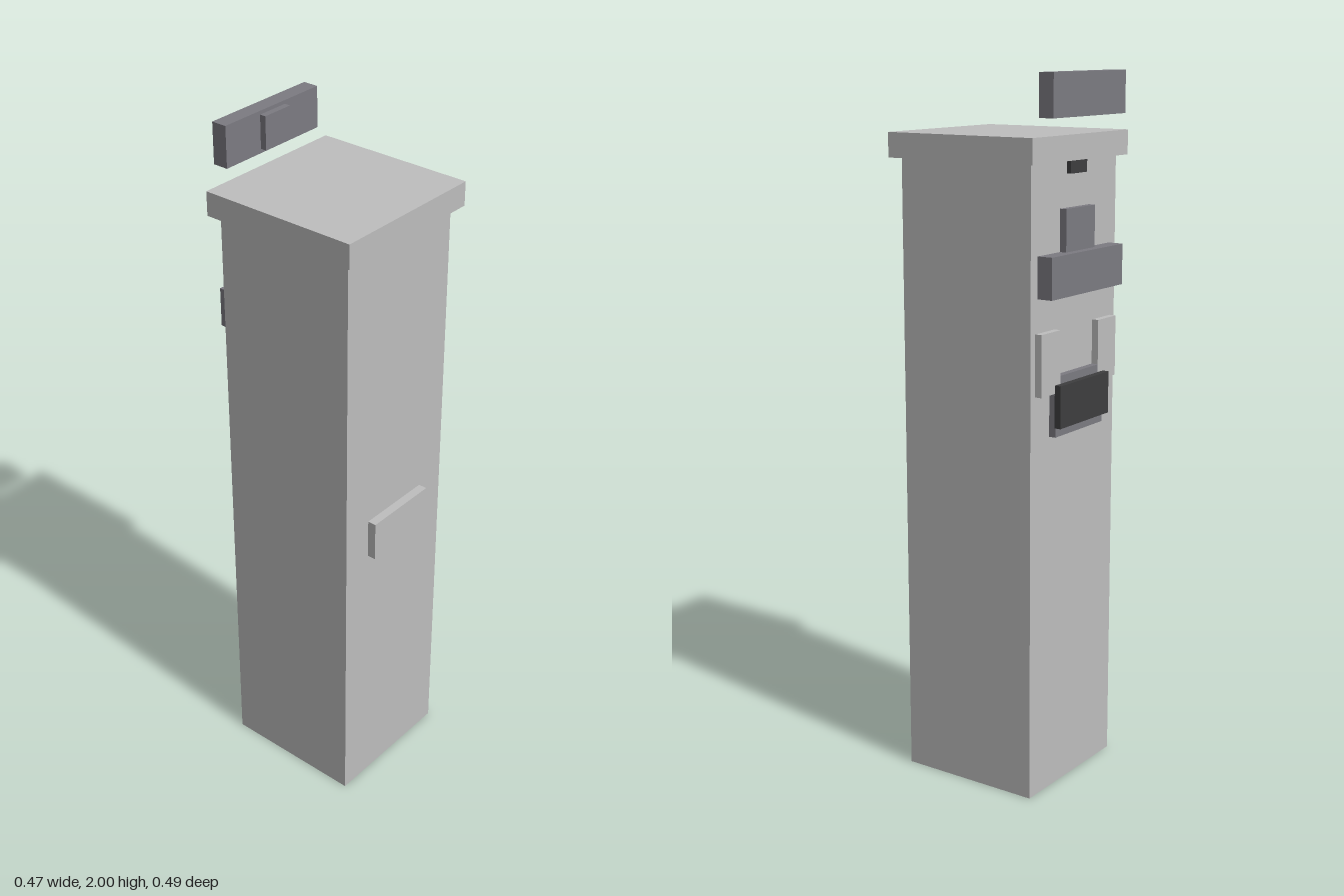
import * as THREE from 'three';

const stone = new THREE.MeshStandardMaterial({ name: 'light grey', color: 0xbebebe });
const slate = new THREE.MeshStandardMaterial({ name: 'slate grey', color: 0x7c7b82 });
const dark = new THREE.MeshStandardMaterial({ name: 'dark grey', color: 0x3e3e3f });

// Box given by its extents on each axis
function box(name, material, [x0, x1], [y0, y1], [z0, z1]) {
  const mesh = new THREE.Mesh(new THREE.BoxGeometry(x1 - x0, y1 - y0, z1 - z0), material);
  mesh.name = name;
  mesh.position.set((x0 + x1) / 2, (y0 + y1) / 2, (z0 + z1) / 2);
  return mesh;
}

const wide = (half) => [-half, half];

export function createModel() {
  const model = new THREE.Group();
  model.name = 'pillar';
  const back = -0.2;

  // Square column with overhanging cap and a plaque on the front
  model.add(
    box('column', stone, wide(0.209), [0, 1.77], [back, 0.222]),
    box('cap', stone, wide(0.235), [1.77, 1.838], [-0.222, 0.247]),
    box('frontPlaque', stone, wide(0.115), [0.825, 0.942], [0.222, 0.247]),
  );

  // Bar floating above the cap, with a small tab on its front
  model.add(
    box('floatingBar', slate, wide(0.177), [1.885, 2], [-0.247, -0.202]),
    box('floatingBarTab', slate, wide(0.048), [1.897, 1.99], [-0.202, -0.184]),
  );

  // Fittings on the back face
  model.add(
    box('latch', dark, wide(0.04), [1.735, 1.77], [-0.213, back]),
    box('upperTab', slate, wide(0.071), [1.53, 1.645], [-0.22, back]),
    box('backBar', slate, wide(0.177), [1.417, 1.53], [-0.245, back]),
    box('lowerPanel', slate, wide(0.118), [1.033, 1.155], [-0.22, back]),
    box('lowerPanelTop', slate, wide(0.095), [1.155, 1.2], [-0.22, back]),
    box('darkPlate', dark, wide(0.122), [1.06, 1.178], [-0.239, -0.22]),
  );

  // Mirrored pair of light side plates
  for (const side of [-1, 1]) {
    const xs = [side * 0.095, side * 0.187].sort((a, b) => a - b);
    model.add(box(side > 0 ? 'leftSidePlate' : 'rightSidePlate', stone, xs, [1.155, 1.325], [-0.22, back]));
  }
  return model;
}
